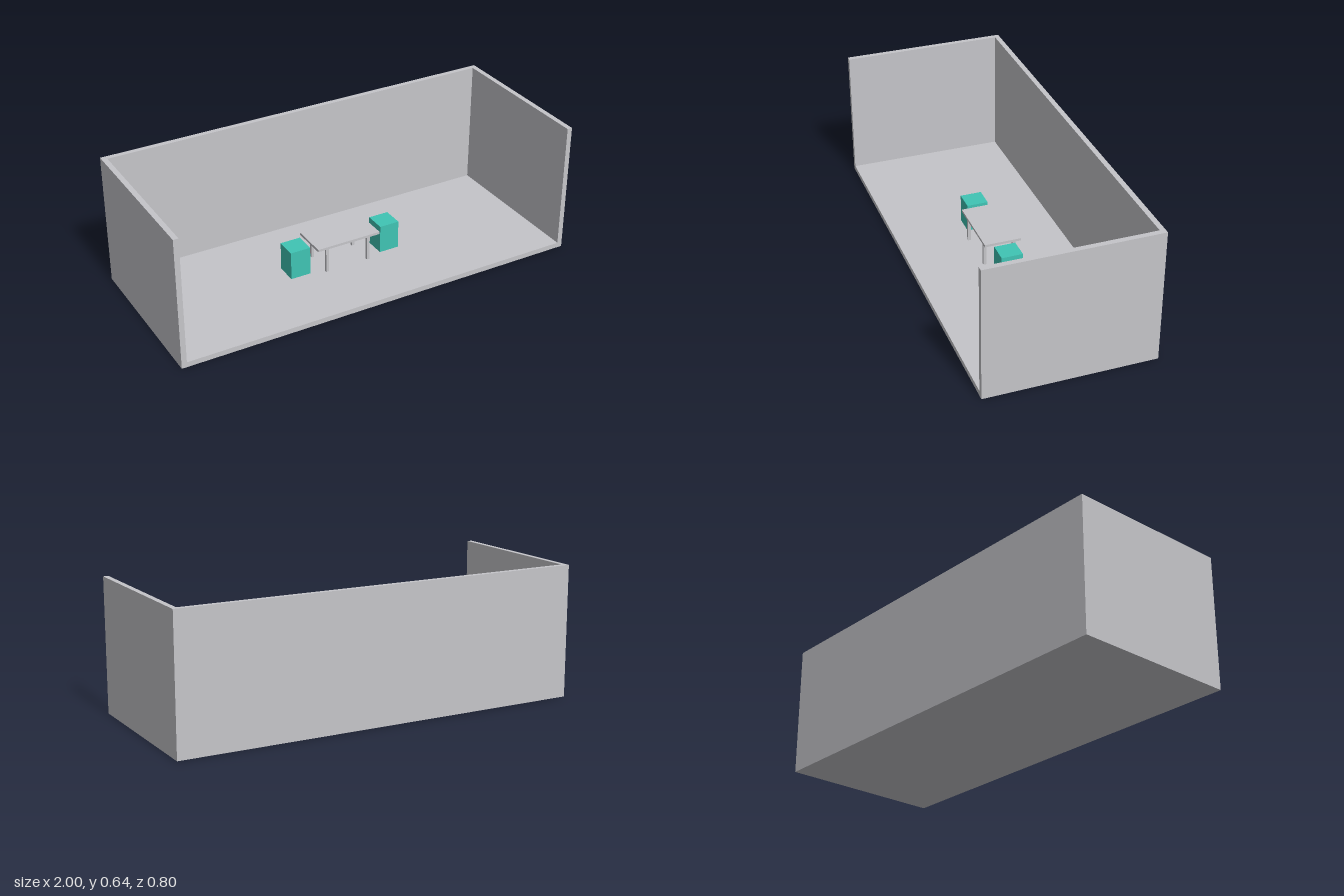
import * as THREE from 'three';

const grey = new THREE.MeshStandardMaterial({ color: 0xc5c5c9 });
grey.name = 'pale grey';
const teal = new THREE.MeshStandardMaterial({ color: 0x40c4b4 });
teal.name = 'teal';

// Box given by its lower and upper corners
function block(name, material, [x0, y0, z0], [x1, y1, z1]) {
  const mesh = new THREE.Mesh(new THREE.BoxGeometry(x1 - x0, y1 - y0, z1 - z0), material);
  mesh.position.set((x0 + x1) / 2, (y0 + y1) / 2, (z0 + z1) / 2);
  mesh.name = name;
  return mesh;
}

export function createModel() {
  const model = new THREE.Group();
  model.name = 'openRoom';
  const W = 1, D = 0.4, H = 0.64, T = 0.025;

  // Room shell: floor, back wall and side walls, open at the front and top
  const room = new THREE.Group();
  room.name = 'room';
  room.add(
    block('floor', grey, [-W, 0, -D], [W, T, D]),
    block('backWall', grey, [-W + T, T, -D], [W - T, H, -D + T]),
    block('leftWall', grey, [W - T, T, -D], [W, H, D]),
    block('rightWall', grey, [-W, T, -D], [-W + T, H, D]),
  );

  // Table with four slim legs
  const table = new THREE.Group();
  table.name = 'table';
  table.position.set(-0.003, 0, -0.003);
  table.add(block('tableTop', grey, [-0.164, 0.153, -0.089], [0.164, 0.165, 0.089]));
  const r = 0.007;
  for (const x of [-0.11, 0.11]) {
    for (const z of [-0.072, 0.072]) {
      table.add(block('tableLeg', grey, [x - r, T, z - r], [x + r, 0.153, z + r]));
    }
  }

  // Block seats at both ends of the table
  const seats = new THREE.Group();
  seats.name = 'seats';
  for (const x of [-0.24, 0.237]) {
    seats.add(block('seat', teal, [x - 0.05, T, -0.053], [x + 0.05, 0.165, 0.05]));
  }

  model.add(room, table, seats);
  return model;
}
